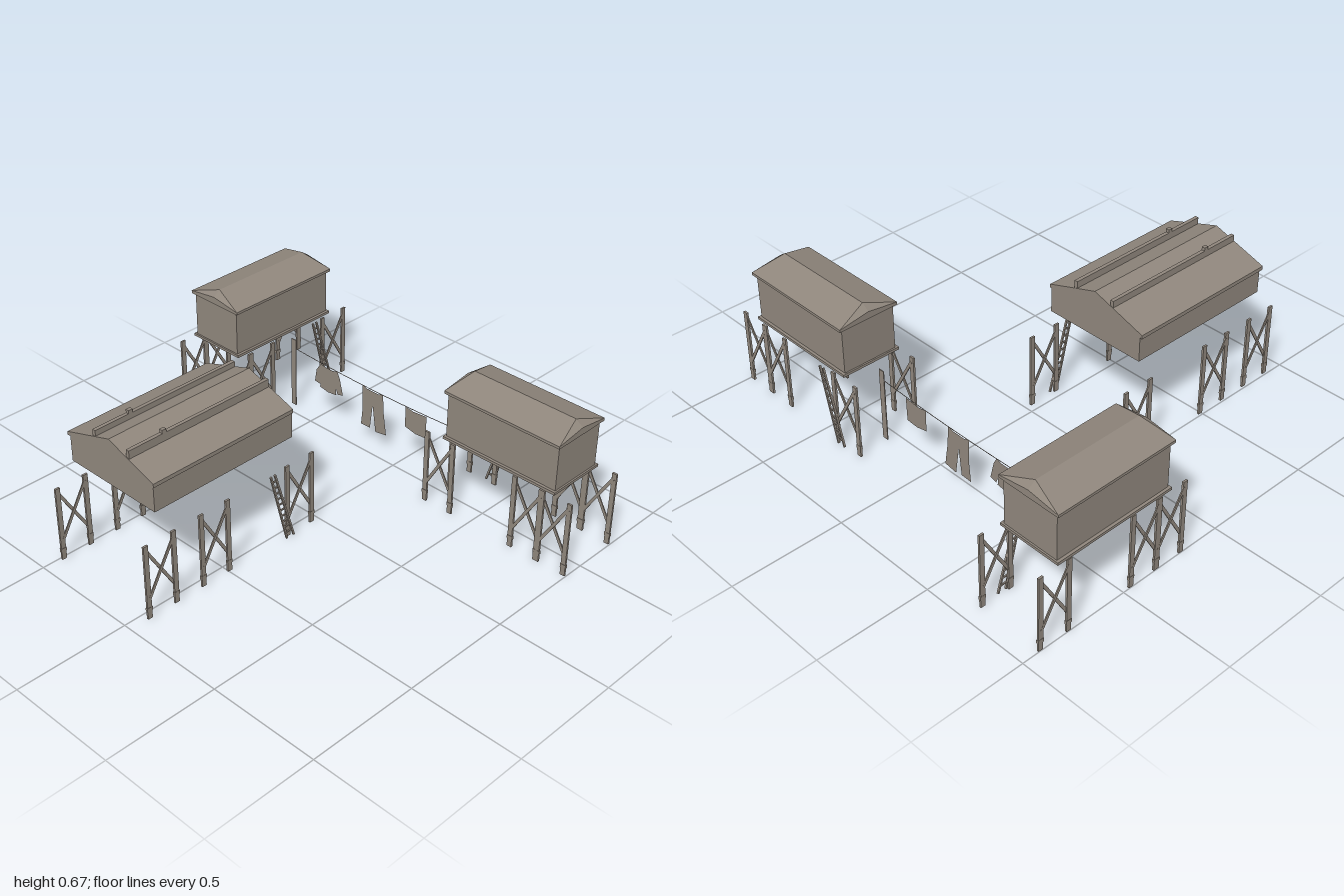
import * as THREE from 'three';
import { ConvexGeometry } from 'three/addons/geometries/ConvexGeometry.js';

const wood = new THREE.MeshStandardMaterial({ color: 0x8f867c, side: THREE.DoubleSide });
wood.name = 'weathered wood';
const dark = new THREE.MeshStandardMaterial({ color: 0x2a1c18, side: THREE.DoubleSide });
dark.name = 'dark opening';

function add(parent, name, geometry, x = 0, y = 0, z = 0, material = wood) {
  const mesh = new THREE.Mesh(geometry, material);
  mesh.name = name;
  mesh.position.set(x, y, z);
  parent.add(mesh);
  return mesh;
}
const box = (parent, name, w, h, d, x, y, z, material) =>
  add(parent, name, new THREE.BoxGeometry(w, h, d), x, y, z, material);

// Flat bar between two points of the local xy plane
function bar(parent, name, a, b, width, depth, z = 0) {
  const dx = b[0] - a[0], dy = b[1] - a[1];
  const mesh = box(parent, name, width, Math.hypot(dx, dy), depth, (a[0] + b[0]) / 2, (a[1] + b[1]) / 2, z);
  mesh.rotation.z = -Math.atan2(dx, dy);
  return mesh;
}

// Small house running along local x, with clipped gable ends and a floor hatch
function hut(name, length, width, hatchX) {
  const g = new THREE.Group();
  g.name = name;
  box(g, 'floor', length - 0.005, 0.012, width - 0.005, 0, 0.346, 0);
  box(g, 'hatch', 0.115, 0.004, 0.1, hatchX, 0.339, 0, dark);
  box(g, 'walls', length - 0.02, 0.215, width - 0.03, 0, 0.455, 0);
  const points = [];
  for (const s of [-1, 1]) {
    const e = s * length / 2;
    for (const t of [-1, 1]) {
      points.push(new THREE.Vector3(e, 0.555, t * width / 2));
      points.push(new THREE.Vector3(e, 0.567, t * width / 2));
    }
    points.push(new THREE.Vector3(e, 0.588, 0));
    points.push(new THREE.Vector3(e - s * 0.035, 0.612, 0));
  }
  add(g, 'roof', new ConvexGeometry(points));
  return g;
}

// Pair of posts with crossed braces, lying in the local xy plane
function trestle() {
  const g = new THREE.Group();
  g.name = 'trestle';
  for (const s of [-1, 1]) {
    box(g, 'post', 0.022, 0.34, 0.009, s * 0.068, 0.17, 0);
    box(g, 'postCollar', 0.026, 0.016, 0.011, s * 0.068, 0.045, 0);
    bar(g, 'brace', [-s * 0.065, 0.09], [s * 0.065, 0.315], 0.013, 0.005, s * 0.0025);
  }
  return g;
}

// Leaning ladder in the local xy plane, narrowing upwards
function ladder() {
  const g = new THREE.Group();
  g.name = 'ladder';
  const left = t => [-0.065 + 0.1 * t, 0.34 * t];
  const right = t => [-0.027 + 0.084 * t, 0.34 * t];
  bar(g, 'ladderRail', left(0), left(1), 0.008, 0.008);
  bar(g, 'ladderRail', right(0), right(1), 0.008, 0.008);
  for (let i = 1; i <= 10; i++) bar(g, 'rung', left(i / 11), right(i / 11), 0.006, 0.006);
  return g;
}

function place(parent, part, x, z, turn = 0) {
  part.position.set(x, 0, z);
  part.rotation.y = turn;
  parent.add(part);
}

function outline(points) {
  return new THREE.Shape(points.map(p => new THREE.Vector2(p[0], p[1])));
}

export function createModel() {
  const model = new THREE.Group();
  model.name = 'stiltVillage';
  const quarter = Math.PI / 2;

  // Two small huts
  place(model, hut('rearHut', 0.575, 0.29, 0.18), -0.853, -0.547, quarter);
  place(model, hut('sideHut', 0.57, 0.285, -0.165), 0.625, -0.548);

  // Large house with a plain gable
  const hall = new THREE.Group();
  hall.name = 'largeHouse';
  model.add(hall);
  const extrude = (pts, depth) =>
    new THREE.ExtrudeGeometry(outline(pts), { depth, bevelEnabled: false });
  add(hall, 'walls', extrude([[-0.473, 0.441], [0.01, 0.441], [0.01, 0.56],
    [-0.231, 0.64], [-0.473, 0.56]], 0.71), 0, 0, 0.118);
  add(hall, 'roof', extrude([[-0.486, 0.553], [-0.233, 0.635], [0.014, 0.553],
    [0.014, 0.57], [-0.233, 0.652], [-0.486, 0.57]], 0.715), 0, 0, 0.115);
  for (const x of [-0.322, -0.128]) {
    box(hall, 'roofBeam', 0.016, 0.04, 0.71, x, 0.63, 0.472);
    box(hall, 'beamPeg', 0.016, 0.02, 0.02, x, 0.655, 0.655);
  }

  // Trestles under the three houses
  for (const x of [-0.488, 0.035])
    for (const z of [0.105, 0.562, 0.837]) place(model, trestle(), x, z, quarter);
  for (const x of [-0.995, -0.7])
    for (const z of [-0.845, -0.392, -0.26]) place(model, trestle(), x, z, quarter);
  for (const z of [-0.695, -0.405])
    for (const x of [0.333, 0.787, 0.917]) place(model, trestle(), x, z);

  // Ladders
  place(model, ladder(), 0.415, -0.706);
  place(model, ladder(), 0.046, 0.215, -quarter);
  place(model, ladder(), -0.692, -0.765, -quarter);

  // Clothesline with its two posts
  const line = new THREE.Group();
  line.name = 'clothesline';
  line.position.z = -0.55;
  model.add(line);
  for (const x of [-0.655, 0.28]) box(line, 'linePost', 0.028, 0.34, 0.004, x, 0.17, 0);
  const rope = new THREE.QuadraticBezierCurve3(new THREE.Vector3(-0.66, 0.297, 0),
    new THREE.Vector3(-0.185, 0.268, 0), new THREE.Vector3(0.29, 0.297, 0));
  add(line, 'rope', new THREE.TubeGeometry(rope, 24, 0.0015, 5));

  // Hanging laundry
  const cloth = (name, pts) => add(line, name, new THREE.ShapeGeometry(outline(pts)));
  cloth('shirt', [[-0.485, 0.283], [-0.455, 0.277], [-0.415, 0.277], [-0.385, 0.284],
    [-0.37, 0.255], [-0.35, 0.177], [-0.382, 0.168], [-0.393, 0.198], [-0.39, 0.162],
    [-0.44, 0.155], [-0.49, 0.164], [-0.487, 0.195], [-0.49, 0.178], [-0.522, 0.182],
    [-0.512, 0.245]]);
  cloth('trousers', [[-0.233, 0.285], [-0.205, 0.275], [-0.14, 0.275], [-0.113, 0.285],
    [-0.108, 0.2], [-0.09, 0.088], [-0.152, 0.078], [-0.172, 0.205], [-0.185, 0.085],
    [-0.238, 0.083], [-0.23, 0.17]]);
  cloth('towel', [[0.015, 0.284], [0.06, 0.277], [0.135, 0.284], [0.132, 0.176],
    [0.075, 0.172], [0.018, 0.184]]);
  return model;
}
